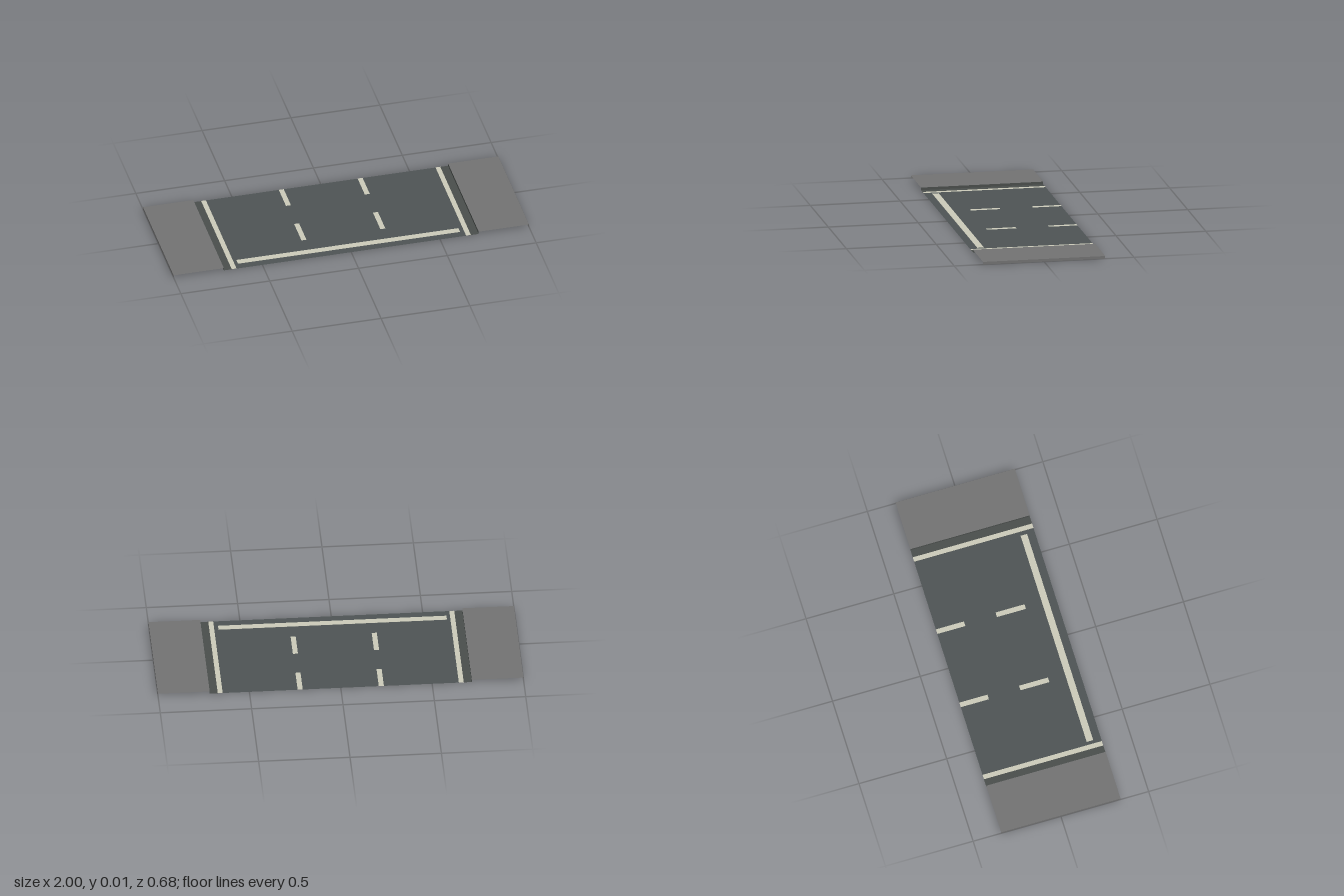
import * as THREE from 'three';

const mat = (name, color) => {
  const m = new THREE.MeshStandardMaterial({ color, side: THREE.DoubleSide });
  m.name = name;
  return m;
};

export function createModel() {
  const group = new THREE.Group();
  const asphalt = mat('asphalt', 0x4d5354);
  const gutterGrey = mat('gutterGrey', 0x494d4b);
  const concrete = mat('concrete', 0x717171);
  const paint = mat('roadPaint', 0xcac9b8);

  const zMin = -0.34, zMax = 0.34, top = 0.015, road = 0.0005;

  const add = (name, geometry, material, x, y, z) => {
    const mesh = new THREE.Mesh(geometry, material);
    mesh.name = name;
    mesh.position.set(x, y, z);
    group.add(mesh);
  };
  // Flat sheet facing up, given by its x and z limits
  const sheet = (name, material, x0, x1, z0, z1, y) =>
    add(name, new THREE.PlaneGeometry(x1 - x0, z1 - z0).rotateX(-Math.PI / 2),
      material, (x0 + x1) / 2, y, (z0 + z1) / 2);
  // Upright sheet running along z, facing +x or -x
  const wall = (name, material, x, facing) =>
    add(name, new THREE.PlaneGeometry(zMax - zMin, top).rotateY(facing * Math.PI / 2),
      material, x, top / 2, 0);

  // Carriageway
  sheet('roadSurface', asphalt, -0.65, 0.645, zMin, zMax, road);

  // Sidewalks, curbs, gutters and edge lines on both sides
  for (const s of [-1, 1]) {
    const side = s > 0 ? 'left' : 'right';
    const span = (a, b) => (s > 0 ? [a, b] : [-b, -a]);
    sheet(side + 'Sidewalk', concrete, ...span(0.717, 1), zMin, zMax, top);
    wall(side + 'OuterEdge', concrete, s, s);
    wall(side + 'Curb', gutterGrey, s * 0.717, -s);
    sheet(side + 'Gutter', gutterGrey, ...span(0.645, 0.717), zMin, zMax, road);
    sheet(side + 'EdgeLine', paint, ...span(0.646, 0.673), zMin, zMax, road + 0.0008);
    // Lane dashes
    for (const [z0, z1] of [[zMin, -0.18], [0, 0.165]])
      sheet(side + 'LaneDash', paint, ...span(0.208, 0.236), z0, z1, road + 0.0008);
  }

  // Stop line, showing on both faces of the road sheet
  add('stopLine', new THREE.BoxGeometry(1.25, 0.0013, 0.037), paint, -0.002, 0.00065, 0.278);

  return group;
}
